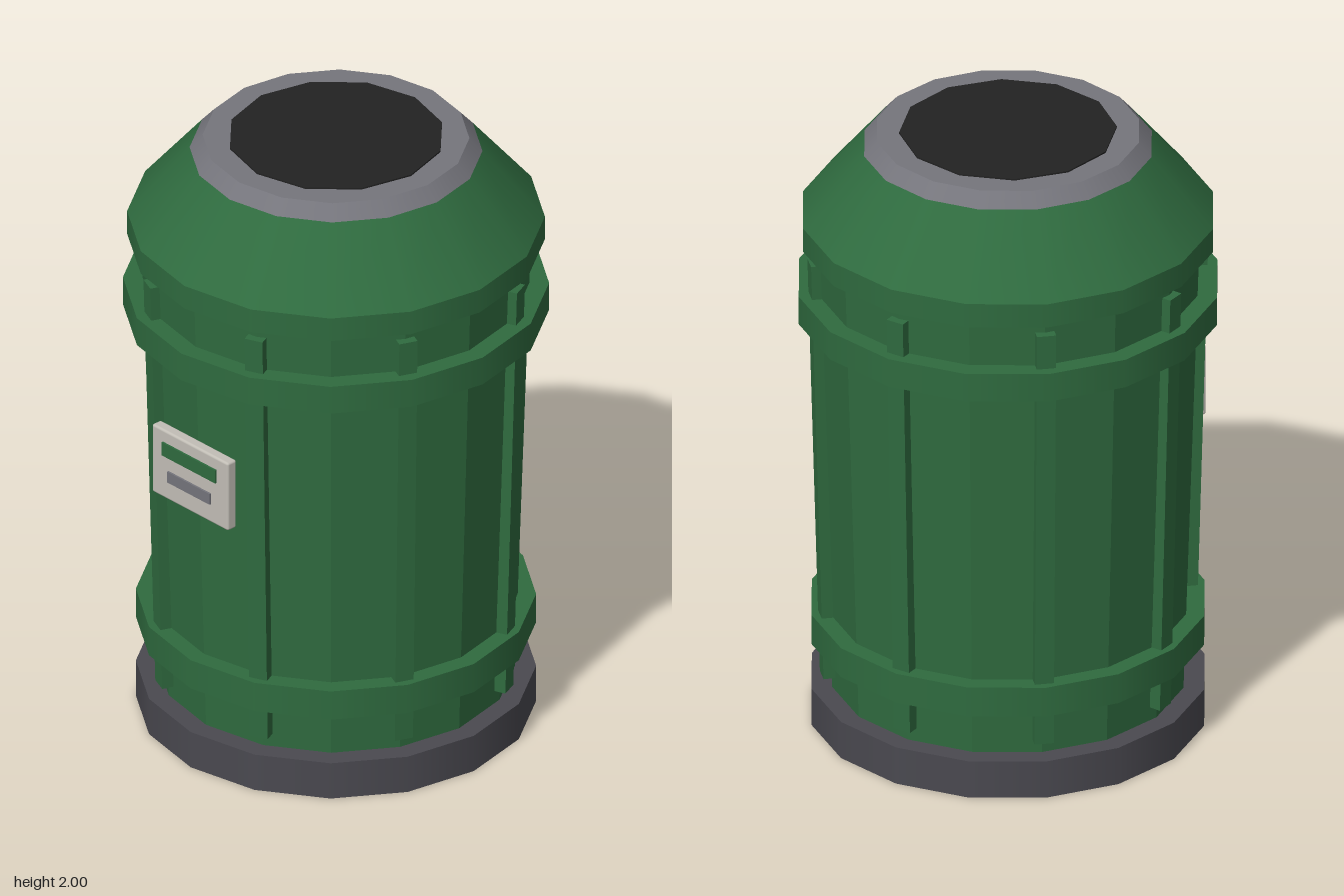
import * as THREE from 'three';
import { RoundedBoxGeometry } from 'three/addons/geometries/RoundedBoxGeometry.js';

const SIDES = 16;

function material(name, color) {
  const m = new THREE.MeshStandardMaterial({ color });
  m.name = name;
  return m;
}

export function createModel() {
  const group = new THREE.Group();
  group.name = 'litterBin';

  const green = material('green', 0x2f6b3f);
  const darkGrey = material('darkGrey', 0x4a4950);
  const grey = material('grey', 0x75757c);
  const black = material('black', 0x222222);
  const plateGrey = material('plateGrey', 0xc2beb6);

  function add(name, geometry, mat, x = 0, y = 0, z = 0, parent = group) {
    const mesh = new THREE.Mesh(geometry, mat);
    mesh.name = name;
    mesh.position.set(x, y, z);
    parent.add(mesh);
    return mesh;
  }

  // Upright drum between two heights
  function drum(name, rBottom, rTop, y0, y1, mat, sides = SIDES, open = false) {
    const g = new THREE.CylinderGeometry(rTop, rBottom, y1 - y0, sides, 1, open);
    return add(name, g, mat, 0, (y0 + y1) / 2, 0);
  }

  // Foot, tapered body and the two hoops
  drum('base', 0.615, 0.615, 0, 0.125, darkGrey);
  const body = drum('body', 0.55, 0.6, 0.12, 1.66, green);
  body.geometry = body.geometry.toNonIndexed();
  body.geometry.computeVertexNormals();
  drum('lowerBand', 0.615, 0.615, 0.28, 0.38, green);
  drum('upperBand', 0.655, 0.655, 1.39, 1.485, green);

  // Lid: rim, sloping shoulder, collar and opening
  drum('lidRim', 0.642, 0.642, 1.64, 1.72, green);
  drum('lidShoulder', 0.642, 0.45, 1.72, 1.95, green, SIDES, true);
  drum('collar', 0.45, 0.41, 1.95, 1.995, grey);
  drum('opening', 0.335, 0.335, 1.985, 2, black, 12);

  // Eight ribs leaning outward with the body
  const y0 = 0.17, y1 = 1.6, rLow = 0.558, rHigh = 0.597;
  const ribGeometry = new THREE.BoxGeometry(0.06, y1 - y0, 0.05);
  for (let i = 0; i < 8; i++) {
    const arm = new THREE.Group();
    arm.name = 'ribArm';
    arm.rotation.y = (i + 0.5) * Math.PI / 4;
    const rib = add('rib', ribGeometry, green, 0, (y0 + y1) / 2, (rLow + rHigh) / 2, arm);
    rib.rotation.x = Math.atan2(rHigh - rLow, y1 - y0);
    group.add(arm);
  }

  // Front plate with two raised strips
  add('plate', new RoundedBoxGeometry(0.34, 0.24, 0.038, 2, 0.008), plateGrey, 0, 1.03, 0.6);
  add('plateGreenStrip', new THREE.BoxGeometry(0.24, 0.046, 0.009), green, 0, 1.085, 0.621);
  add('plateGreyStrip', new THREE.BoxGeometry(0.19, 0.038, 0.009), grey, 0, 0.995, 0.621);

  return group;
}
